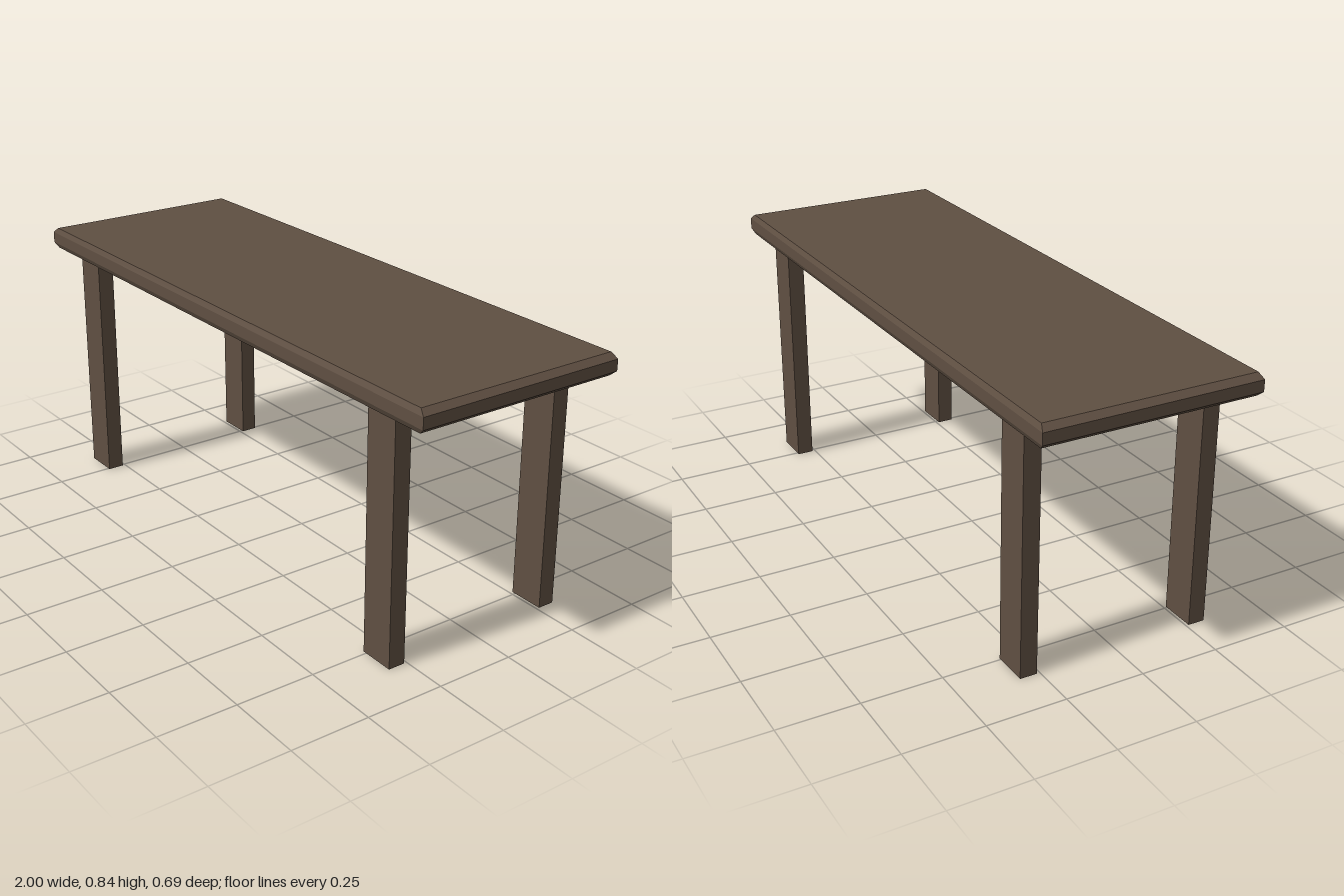
import * as THREE from 'three';

const wood = new THREE.MeshStandardMaterial({ color: 0x5f4f42, flatShading: true });

// Slab with bevelled upper and lower edges: the outer rows of a box are drawn in
function bevelledSlab(width, height, depth, bevelX, bevelY, bevelZ) {
  const geometry = new THREE.BoxGeometry(width, height, depth, 1, 3, 1);
  const pos = geometry.attributes.position;
  for (let i = 0; i < pos.count; i++) {
    const x = pos.getX(i), y = pos.getY(i), z = pos.getZ(i);
    if (Math.abs(y) > height * 0.4) {
      pos.setX(i, x - Math.sign(x) * bevelX);
      pos.setZ(i, z - Math.sign(z) * bevelZ);
    } else {
      pos.setY(i, Math.sign(y) * (height / 2 - bevelY));
    }
  }
  geometry.computeVertexNormals();
  return geometry;
}

export function createModel() {
  const table = new THREE.Group();
  table.name = 'table';

  // Table top
  const topHeight = 0.07, legHeight = 0.77;
  const top = new THREE.Mesh(bevelledSlab(2, topHeight, 0.69, 0.02, 0.017, 0.008), wood);
  top.name = 'tableTop';
  top.position.y = legHeight + topHeight / 2;
  table.add(top);

  // Four flat legs, broad side to the front
  const legGeometry = new THREE.BoxGeometry(0.115, legHeight, 0.054);
  for (const [side, x] of [['Left', 0.796], ['Right', -0.801]]) {
    for (const [end, z] of [['front', 0.286], ['back', -0.287]]) {
      const leg = new THREE.Mesh(legGeometry, wood);
      leg.name = `${end}${side}Leg`;
      leg.position.set(x, legHeight / 2, z);
      table.add(leg);
    }
  }
  return table;
}
